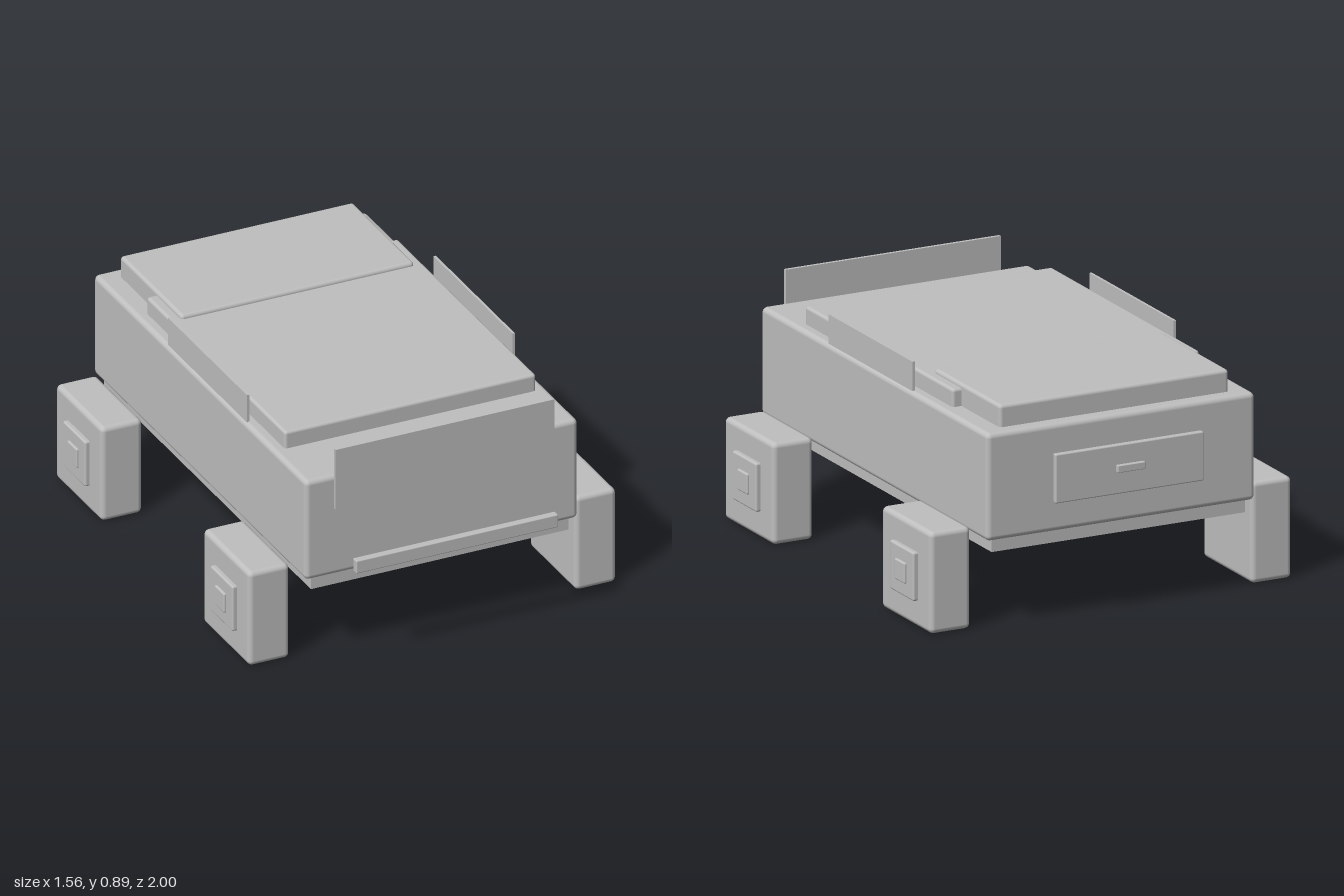
import * as THREE from 'three';
import { RoundedBoxGeometry } from 'three/addons/geometries/RoundedBoxGeometry.js';

const grey = new THREE.MeshStandardMaterial({ color: 0xbfbfbf });
grey.name = 'grey';

// Box given by its extents on each axis; a radius rounds its edges
function addBox(parent, name, [x0, x1], [y0, y1], [z0, z1], radius = 0) {
  const size = [x1 - x0, y1 - y0, z1 - z0];
  const geometry = radius
    ? new RoundedBoxGeometry(...size, 3, radius)
    : new THREE.BoxGeometry(...size);
  const mesh = new THREE.Mesh(geometry, grey);
  mesh.name = name;
  mesh.position.set((x0 + x1) / 2, (y0 + y1) / 2, (z0 + z1) / 2);
  parent.add(mesh);
  return mesh;
}

const span = (half, centre = 0) => [centre - half, centre + half];

// Square wheel with a stepped hub on its outer face; side is +1 or -1
function createWheel(name, side, z) {
  const wheel = new THREE.Group();
  wheel.name = name;
  wheel.position.set(side * 0.668, 0.2, z);
  const outward = (a, b) => (side > 0 ? [a, b] : [-b, -a]);
  addBox(wheel, 'tyre', span(0.084), [-0.197, 0.195], span(0.195), 0.02);
  addBox(wheel, 'hub', outward(0.04, 0.103), span(0.094), span(0.094), 0.008);
  addBox(wheel, 'hubCap', outward(0.08, 0.112), span(0.04), span(0.04), 0.006);
  return wheel;
}

export function createModel() {
  const car = new THREE.Group();
  car.name = 'car';

  // Body and underside
  addBox(car, 'body', span(0.558), [0.354, 0.769], [-0.917, 0.87], 0.02);
  addBox(car, 'chassis', span(0.527), [0.305, 0.38], [-0.893, 0.851]);

  // Raised panels on top
  addBox(car, 'roof', span(0.514), [0.72, 0.838], [-0.56, 0.605], 0.012);
  addBox(car, 'rearDeck', span(0.477), [0.72, 0.854], [-0.861, -0.343], 0.014);

  // Glass panels
  addBox(car, 'windscreen', span(0.447), [0.64, 0.89], [0.882, 0.895]);
  for (const side of [-1, 1]) {
    addBox(car, side > 0 ? 'leftWindow' : 'rightWindow', span(0.005, side * 0.543), [0.64, 0.88], [-0.309, 0.356]);
  }

  // Front bumper and rear hatch with handle
  addBox(car, 'frontBumper', span(0.413), [0.414, 0.467], [0.97, 1], 0.004);
  addBox(car, 'rearHatch', span(0.308), [0.484, 0.673], [-0.984, -0.96], 0.005);
  addBox(car, 'hatchHandle', span(0.057), [0.57, 0.598], [-1, -0.98], 0.003);

  // Wheels
  for (const side of [-1, 1]) {
    const label = side > 0 ? 'Left' : 'Right';
    car.add(createWheel('front' + label + 'Wheel', side, 0.598));
    car.add(createWheel('rear' + label + 'Wheel', side, -0.643));
  }
  return car;
}
